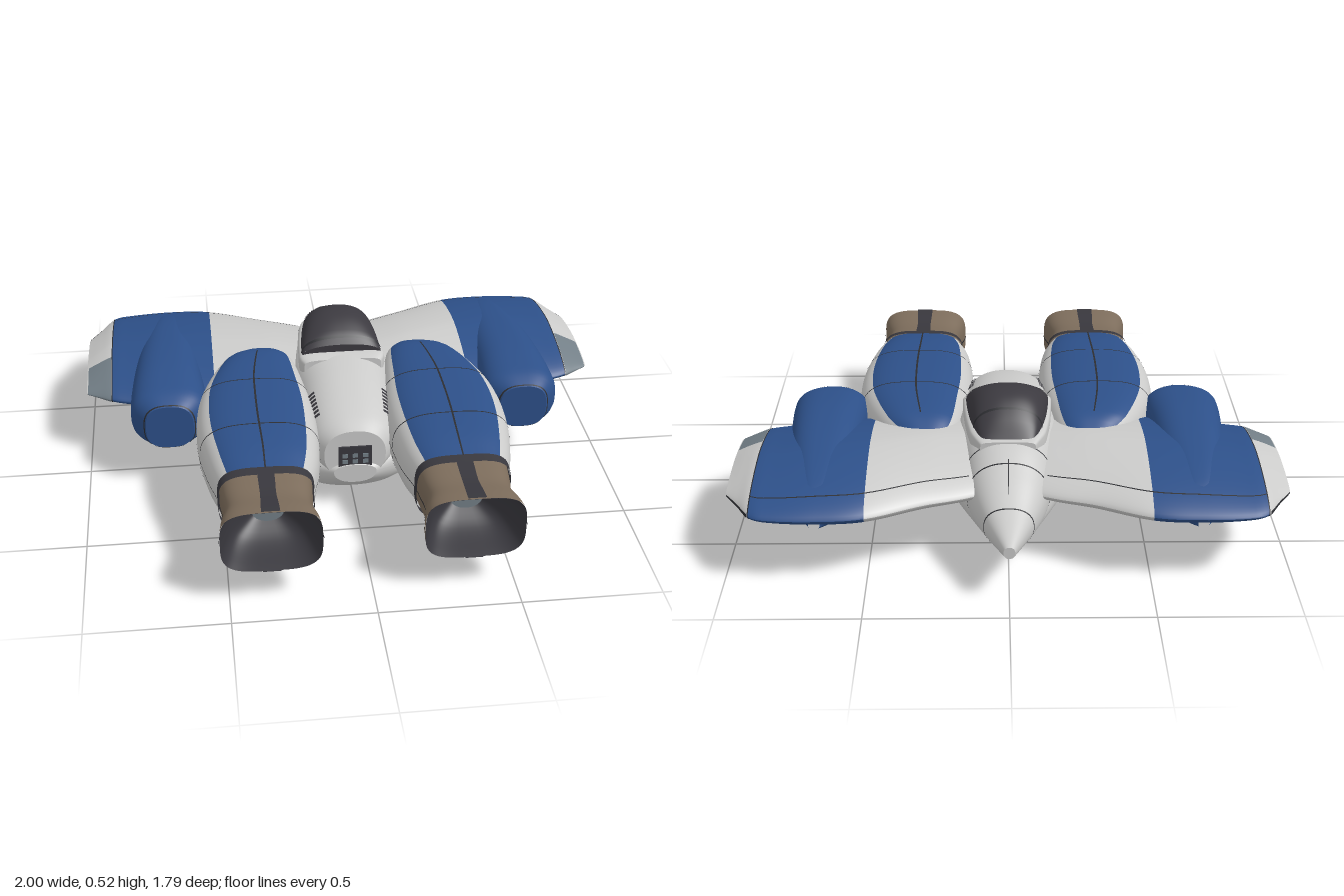
import * as THREE from 'three';

const mat = (name, color, side = THREE.FrontSide) => {
  const m = new THREE.MeshStandardMaterial({ color, side });
  m.name = name;
  return m;
};

// Smooth interpolation of section rows; column 0 is the position along the axis
function sample(rows, t) {
  let i = 0;
  while (i < rows.length - 2 && t > rows[i + 1][0]) i++;
  const slope = (k, c) => {
    const a = rows[Math.max(k - 1, 0)], b = rows[Math.min(k + 1, rows.length - 1)];
    return (b[c] - a[c]) / (b[0] - a[0]);
  };
  const p = rows[i], q = rows[i + 1], d = q[0] - p[0];
  const u = Math.min(Math.max((t - p[0]) / d, 0), 1), u2 = u * u, u3 = u2 * u;
  return p.map((v, c) => (2 * u3 - 3 * u2 + 1) * v + (u3 - 2 * u2 + u) * d * slope(i, c)
    + (3 * u2 - 2 * u3) * q[c] + (u3 - u2) * d * slope(i + 1, c));
}
const bend = (v, n) => Math.sign(v) * Math.pow(Math.abs(v), 2 / n);

// Body along z: rows of [z, centreX, centreY, halfWidth, up, down]
const hull = (rows, n) => (t, a, off = 0) => {
  const [, cx, cy, hw, up, down] = sample(rows, t);
  const s = Math.sin(a);
  return [cx + (hw + off) * bend(Math.cos(a), n), cy + ((s > 0 ? up : down) + off) * bend(s, n), t];
};

// Wing along x: rows of [x, leadingZ, trailingZ, centreY, halfThickness]
const foil = (rows, n) => (t, a, off = 0) => {
  const [, z0, z1, cy, th] = sample(rows, t);
  return [t, cy + (th + off) * bend(Math.sin(a), n), (z0 + z1) / 2 - ((z1 - z0) / 2 + off) * bend(Math.cos(a), n)];
};

// Grid of faces over a range of a surface
function patch(f, t0, t1, a0, a1, off = 0, nt = 40, na = 64) {
  const pos = [], idx = [];
  for (let i = 0; i <= nt; i++) {
    for (let j = 0; j <= na; j++) pos.push(...f(t0 + (t1 - t0) * i / nt, a0 + (a1 - a0) * j / na, off));
  }
  for (let i = 0; i < nt; i++) {
    for (let j = 0; j < na; j++) {
      const p = i * (na + 1) + j, q = p + na + 1;
      idx.push(p, p + 1, q, q, p + 1, q + 1);
    }
  }
  const g = new THREE.BufferGeometry();
  g.setAttribute('position', new THREE.Float32BufferAttribute(pos, 3));
  g.setIndex(idx);
  g.computeVertexNormals();
  return g;
}

// Flat end of a surface
function cap(f, t, start = false) {
  const p = f(t, 0), q = f(t, Math.PI), c = p.map((v, i) => (v + q[i]) / 2);
  const disc = (r, a) => f(t, a).map((v, i) => c[i] + (v - c[i]) * r);
  return start ? patch(disc, 0, 1, 0, 2 * Math.PI, 0, 1) : patch(disc, 1, 0, 0, 2 * Math.PI, 0, 1);
}

function mirrored(g) {
  const m = g.clone().scale(-1, 1, 1), ix = m.index.array;
  for (let i = 0; i < ix.length; i += 3) [ix[i], ix[i + 1]] = [ix[i + 1], ix[i]];
  m.computeVertexNormals();
  return m;
}

export function createModel() {
  const root = new THREE.Group();
  root.name = 'spacecraft';
  const white = mat('paleGrey', 0xcbcbca);
  const blue = mat('blue', 0x2d5089);
  const brown = mat('nozzleBrown', 0x7c6c5b);
  const dark = mat('darkGrey', 0x38373d, THREE.DoubleSide);
  const glass = mat('canopyGlass', 0x3c3a40);
  const slate = mat('slate', 0x737f87);
  const line = mat('panelLine', 0x2c2d31, THREE.DoubleSide);
  const PI = Math.PI, TAU = 2 * PI;

  const add = (name, g, m) => {
    const mesh = new THREE.Mesh(g, m);
    mesh.name = name;
    root.add(mesh);
  };
  const pair = (name, g, m) => {
    add(name + 'Left', g, m);
    add(name + 'Right', mirrored(g), m);
  };

  // Fuselage
  const body = hull([
    [-0.9, 0, 0.192, 0.02, 0.022, 0.022], [-0.74, 0, 0.2, 0.085, 0.07, 0.075], [-0.6, 0, 0.21, 0.135, 0.125, 0.12],
    [-0.45, 0, 0.23, 0.165, 0.165, 0.16], [-0.2, 0, 0.24, 0.2, 0.175, 0.16], [0, 0, 0.24, 0.185, 0.165, 0.15],
    [0.15, 0, 0.235, 0.175, 0.145, 0.14], [0.28, 0, 0.225, 0.155, 0.12, 0.12], [0.34, 0, 0.22, 0.115, 0.1, 0.1],
  ], 2.3);
  add('fuselage', patch(body, -0.9, 0.34, 0, TAU, 0, 60), white);
  add('noseCap', cap(body, -0.9, true), white);
  add('fuselageEnd', cap(body, 0.34), white);
  for (const z of [-0.74, -0.56, -0.47]) add('fuselageSeam', patch(body, z, z + 0.005, 0, TAU, 0.002, 1), line);
  add('noseSeam', patch(body, -0.68, -0.54, PI / 2 - 0.006, PI / 2 + 0.006, 0.002, 10, 1), line);
  for (let i = 0; i < 7; i++) {
    const z = 0.1 + i * 0.02;
    pair('ventSlat', patch(body, z, z + 0.012, 0.5, 0.85, 0.006, 1, 6), dark);
  }

  // Rear service panel with three lights
  const box = (w, h, d, x, y, z) => new THREE.BoxGeometry(w, h, d).translate(x, y, z);
  add('rearPanel', box(0.125, 0.095, 0.008, 0, 0.21, 0.343), dark);
  for (const x of [-0.038, 0, 0.038]) {
    for (const y of [0.195, 0.22]) add('rearLight', box(0.02, 0.016, 0.004, x, y, 0.348), slate);
  }

  // Belly
  const belly = hull([
    [-0.84, 0, 0.18, 0.03, 0.03, 0.035], [-0.6, 0, 0.17, 0.125, 0.1, 0.085], [-0.3, 0, 0.15, 0.225, 0.12, 0.115],
    [0, 0, 0.13, 0.29, 0.12, 0.128], [0.15, 0, 0.13, 0.275, 0.1, 0.12], [0.27, 0, 0.135, 0.2, 0.08, 0.095],
    [0.35, 0, 0.15, 0.08, 0.03, 0.045],
  ], 2.2);
  add('belly', patch(belly, -0.84, 0.35, 0, TAU, 0, 50), white);
  add('bellyEnd', cap(belly, 0.35), white);
  add('bellyFrontPanel', patch(belly, -0.65, -0.49, -PI / 2 - 0.6, -PI / 2 + 0.6, 0.003, 10, 20), slate);
  add('bellyRearPanel', patch(belly, -0.1, 0.03, -PI / 2 - 0.75, -PI / 2 + 0.75, 0.003, 10, 20), slate);
  for (const z of [-0.36, 0.16]) add('bellySeam', patch(belly, z, z + 0.005, PI, TAU, 0.002, 1), line);

  // Canopy
  const canopy = hull([
    [-0.455, 0, 0.385, 0.09, 0.01, 0.01], [-0.4, 0, 0.395, 0.115, 0.065, 0.01], [-0.32, 0, 0.4, 0.135, 0.11, 0.01],
    [-0.23, 0, 0.4, 0.148, 0.115, 0.01], [-0.14, 0, 0.4, 0.155, 0.08, 0.01], [-0.105, 0, 0.4, 0.155, 0.045, 0.01],
  ], 2.3);
  add('canopy', patch(canopy, -0.455, -0.105, 0, PI, 0, 30), glass);
  add('canopyEnd', cap(canopy, -0.105), glass);
  for (const z of [-0.375, -0.13]) add('canopyFrame', patch(canopy, z, z + 0.008, 0, PI, 0.002, 1), line);
  const sill = hull([
    [-0.47, 0, 0.37, 0.1, 0.025, 0.04], [-0.38, 0, 0.375, 0.14, 0.035, 0.05], [-0.1, 0, 0.375, 0.168, 0.04, 0.05],
    [-0.06, 0, 0.37, 0.15, 0.035, 0.05],
  ], 5);
  add('canopySill', patch(sill, -0.47, -0.06, 0, TAU, 0, 20), white);
  add('canopySillFront', cap(sill, -0.47, true), white);
  add('canopySillRear', cap(sill, -0.06), white);

  // Wings
  const wing = foil([
    [0.08, -0.6, 0.05, 0.255, 0.085], [0.18, -0.645, 0.04, 0.257, 0.093], [0.3, -0.69, 0.02, 0.26, 0.1],
    [0.5, -0.782, -0.01, 0.26, 0.103], [0.67, -0.8, -0.03, 0.26, 0.1], [0.84, -0.79, -0.07, 0.26, 0.082],
    [0.9, -0.765, -0.09, 0.262, 0.072], [0.95, -0.68, -0.125, 0.26, 0.052], [1, -0.6, -0.16, 0.257, 0.028],
  ], 1.6);
  pair('innerWing', patch(wing, 0.08, 0.5, 0, TAU, 0, 24), white);
  pair('wingBand', patch(wing, 0.5, 0.9, 0, TAU, 0, 24), blue);
  pair('wingTip', patch(wing, 0.9, 1, 0, TAU, 0, 10), white);
  pair('wingTipEnd', cap(wing, 1), blue);
  pair('wingTipFlap', patch(wing, 0.903, 0.995, PI * 0.63, PI * 1.37, 0.003, 8), slate);
  pair('wingTipEdge', patch(wing, 0.905, 0.998, -0.16, 0.16, 0.003, 8, 6), line);
  pair('wingSeam', patch(wing, 0.14, 0.9, 0.62, 0.638, 0.002, 30, 1), line);
  pair('wingLowerSeam', patch(wing, 0.14, 0.9, -0.638, -0.62, 0.002, 30, 1), line);
  pair('wingTipSeam', patch(wing, 0.898, 0.902, 0, TAU, 0.002, 1), line);
  for (let i = 0; i < 6; i++) {
    const a = -0.85 - i * 0.15;
    pair('underwingVent', patch(wing, 0.32, 0.56, a - 0.035, a, 0.004, 12, 2), dark);
  }

  // Wing pods
  const pod = hull([
    [-0.79, 0.67, 0.245, 0.02, 0.02, 0.02], [-0.65, 0.67, 0.25, 0.075, 0.08, 0.08], [-0.4, 0.675, 0.258, 0.118, 0.112, 0.112],
    [-0.15, 0.68, 0.26, 0.138, 0.126, 0.115], [0.04, 0.68, 0.26, 0.146, 0.115, 0.108], [0.08, 0.68, 0.258, 0.132, 0.107, 0.1],
    [0.13, 0.68, 0.255, 0.09, 0.09, 0.085],
  ], 2.7);
  pair('wingPod', patch(pod, -0.79, 0.13, 0, TAU, 0, 40), blue);
  pair('wingPodEnd', cap(pod, 0.13), blue);
  pair('wingPodSeam', patch(pod, 0.122, 0.127, 0, TAU, 0.002, 1), line);

  // Engines: blue on top, pale below
  const engine = hull([
    [-0.4, 0.32, 0.25, 0.04, 0.04, 0.04], [-0.27, 0.31, 0.25, 0.1, 0.11, 0.09], [-0.2, 0.325, 0.25, 0.15, 0.137, 0.11],
    [0, 0.35, 0.25, 0.205, 0.148, 0.13], [0.15, 0.355, 0.25, 0.224, 0.15, 0.138], [0.32, 0.355, 0.25, 0.222, 0.147, 0.138],
    [0.5, 0.35, 0.25, 0.2, 0.138, 0.13], [0.62, 0.35, 0.25, 0.17, 0.118, 0.115],
  ], 3);
  pair('engineTop', patch(engine, -0.4, 0.62, 0.82, PI - 0.82, 0, 40, 40), blue);
  pair('engineBody', patch(engine, -0.4, 0.62, PI - 0.82, TAU + 0.82), white);
  pair('engineEnd', cap(engine, 0.62), dark);
  for (const z of [0.045, 0.365]) pair('engineRing', patch(engine, z, z + 0.005, 0, TAU, 0.002, 1, 96), line);
  for (const a of [0, PI / 2, PI]) {
    const w = a === PI / 2 ? 0.002 : 0.0015;
    pair('engineSeam', patch(engine, -0.2, 0.62, a - w, a + w, 0.002, 40, 2), line);
  }

  // Nozzles
  const nozzle = hull([
    [0.61, 0.35, 0.248, 0.165, 0.115, 0.115], [0.68, 0.35, 0.247, 0.16, 0.108, 0.106], [0.76, 0.35, 0.246, 0.152, 0.104, 0.104],
    [0.84, 0.35, 0.246, 0.17, 0.114, 0.116], [0.89, 0.35, 0.246, 0.176, 0.119, 0.122],
  ], 3.6);
  pair('nozzle', patch(nozzle, 0.61, 0.89, 0, TAU, 0, 24), brown);
  pair('nozzleCollar', patch(nozzle, 0.615, 0.655, 0, TAU, 0.007, 3), dark);
  for (const a of [PI / 2, -PI / 2]) pair('nozzleStripe', patch(nozzle, 0.65, 0.888, a - 0.045, a + 0.045, 0.004, 16, 4), dark);
  for (const a of [0, PI]) pair('nozzleSideLine', patch(nozzle, 0.65, 0.888, a - 0.002, a + 0.002, 0.003, 16, 2), line);
  const throat = hull([
    [0.68, 0.35, 0.246, 0.05, 0.035, 0.035], [0.76, 0.35, 0.246, 0.125, 0.085, 0.085], [0.89, 0.35, 0.246, 0.175, 0.118, 0.121],
  ], 3.6);
  pair('nozzleThroat', patch(throat, 0.89, 0.68, 0, TAU, 0, 12), dark);
  const plug = new THREE.CylinderGeometry(1, 1, 0.02, 24).rotateX(PI / 2).scale(0.056, 0.04, 1).translate(0.35, 0.246, 0.7);
  pair('nozzleCore', plug, slate);

  return root;
}
